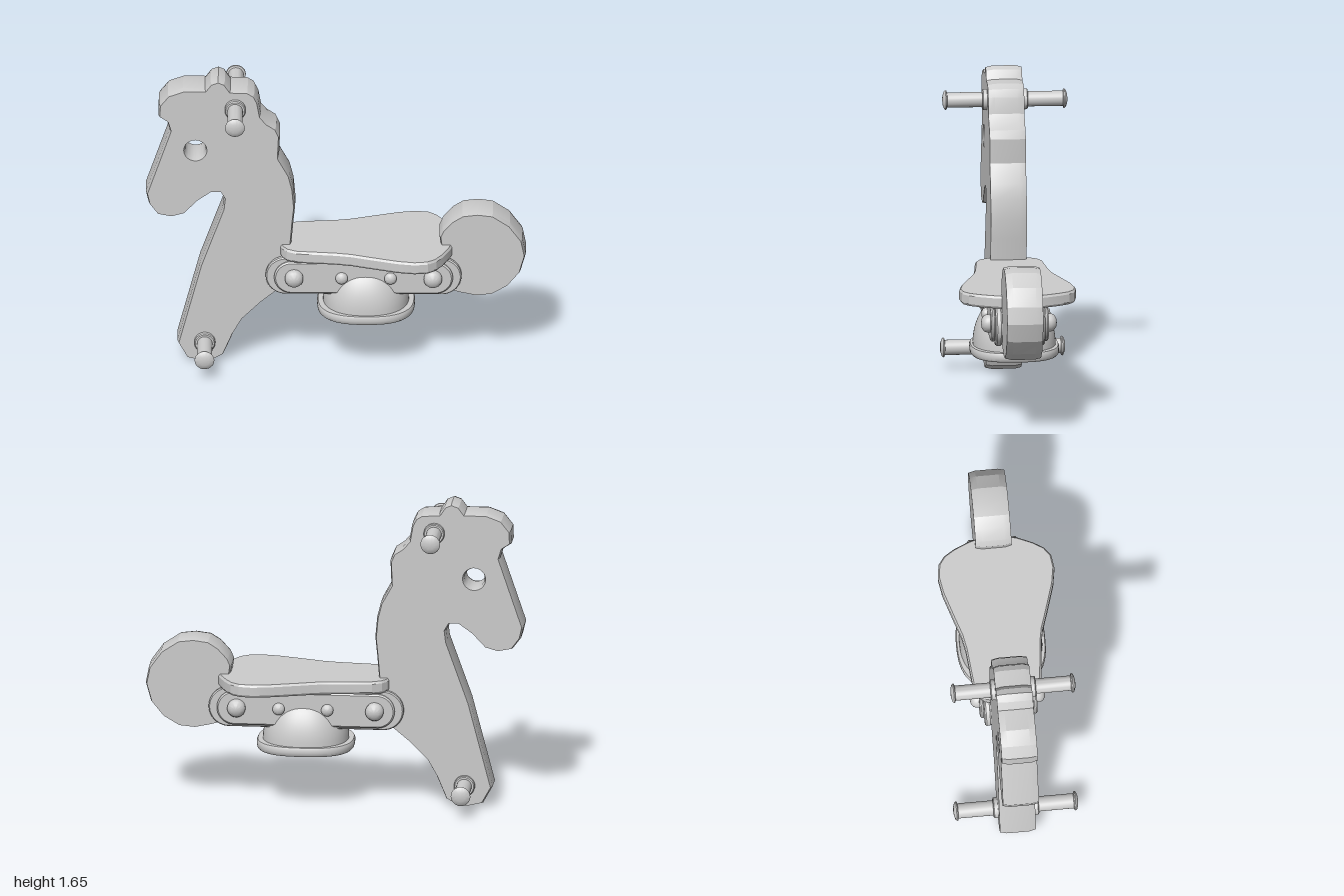
import * as THREE from 'three';
import { toCreasedNormals } from 'three/addons/utils/BufferGeometryUtils.js';

const material = new THREE.MeshStandardMaterial({ color: 0xcccccc });

function add(parent, name, geometry) {
  const mesh = new THREE.Mesh(geometry, material);
  mesh.name = name;
  parent.add(mesh);
  return mesh;
}

const toShape = (pts) => new THREE.Shape(pts.map(([x, y]) => new THREE.Vector2(x, y)));

// Extruded slab centred on z = 0, with its edges slightly eased.
function slab(shape, half, ease, inset) {
  const g = new THREE.ExtrudeGeometry(shape, {
    depth: 2 * (half - ease), bevelEnabled: true, bevelThickness: ease,
    bevelSize: inset, bevelOffset: -inset, bevelSegments: 1, curveSegments: 20,
  });
  g.translate(0, 0, ease - half);
  return toCreasedNormals(g, 0.35);
}

// Stadium outline: half length and end radius.
function stadium(cx, cy, halfLength, r) {
  const s = new THREE.Shape();
  const d = halfLength - r;
  s.absarc(cx + d, cy, r, -Math.PI / 2, Math.PI / 2, false);
  s.absarc(cx - d, cy, r, Math.PI / 2, Math.PI * 1.5, false);
  s.closePath();
  return s;
}

// Turned part whose axis points outward along z on the given side.
function turned(profile, x, y, side) {
  const g = new THREE.LatheGeometry(profile.map(([r, h]) => new THREE.Vector2(r, h)), 28);
  g.rotateX(side * Math.PI / 2);
  g.translate(x, y, 0);
  return toCreasedNormals(g, 0.6);
}

// Lathe squared off into a superelliptic plan.
function squaredLathe(profile, rx, rz, power) {
  const g = new THREE.LatheGeometry(profile.map(([r, h]) => new THREE.Vector2(r, h)), 64);
  const p = g.attributes.position;
  for (let i = 0; i < p.count; i++) {
    const x = p.getX(i), z = p.getZ(i), r = Math.hypot(x, z);
    if (r < 1e-6) continue;
    const f = (Math.abs(x / r) ** power + Math.abs(z / r) ** power) ** (-1 / power);
    p.setX(i, x * f * rx);
    p.setZ(i, z * f * rz);
  }
  return toCreasedNormals(g, 0.6);
}

export function createModel() {
  const model = new THREE.Group();
  model.name = 'rockingHorse';

  // Head, neck and leg in one board, with a tongue between the side plates
  const horse = toShape([
    [-0.70, 0.01], [-0.645, 0.02], [-0.59, 0.05], [-0.54, 0.17], [-0.49, 0.26], [-0.39, 0.36],
    [-0.30, 0.435], [-0.20, 0.46], [-0.15, 0.54], [-0.18, 0.62], [-0.235, 0.70], [-0.225, 0.82],
    [-0.215, 0.92], [-0.225, 1.03], [-0.245, 1.11], [-0.30, 1.21], [-0.295, 1.34], [-0.315, 1.385],
    [-0.36, 1.415], [-0.395, 1.455], [-0.41, 1.54], [-0.43, 1.58], [-0.465, 1.602], [-0.555, 1.605],
    [-0.585, 1.65], [-0.62, 1.665], [-0.66, 1.65], [-0.69, 1.61], [-0.805, 1.61], [-0.885, 1.58],
    [-0.932, 1.52], [-0.935, 1.45], [-0.89, 1.42], [-0.875, 1.37], [-1.0, 1.0], [-0.985, 0.935],
    [-0.94, 0.875], [-0.865, 0.86], [-0.795, 0.88], [-0.725, 0.955], [-0.655, 1.005], [-0.61, 1.005],
    [-0.59, 0.97], [-0.597, 0.91], [-0.715, 0.58], [-0.835, 0.12], [-0.785, 0.03],
  ]);
  const eye = new THREE.Path();
  eye.absarc(-0.74, 1.257, 0.053, 0, Math.PI * 2, true);
  horse.holes.push(eye);
  add(model, 'horseBoard', slab(horse, 0.095, 0.035, 0.008));

  // Round tail board
  add(model, 'tailBoard', slab(toShape([
    [0.44, 0.58], [0.44, 0.49], [0.53, 0.455], [0.65, 0.42], [0.735, 0.402], [0.82, 0.41],
    [0.905, 0.46], [0.97, 0.54], [0.998, 0.64], [0.98, 0.73], [0.915, 0.82], [0.825, 0.88],
    [0.745, 0.89], [0.665, 0.88], [0.61, 0.845], [0.56, 0.79], [0.543, 0.75], [0.55, 0.70], [0.53, 0.62],
  ]), 0.095, 0.035, 0.008));

  // Seat: half outline mirrored across the long axis
  const half = [
    [-0.298, 0.07], [-0.285, 0.12], [-0.26, 0.155], [-0.21, 0.18], [0, 0.20], [0.08, 0.215],
    [0.165, 0.243], [0.325, 0.293], [0.415, 0.308], [0.485, 0.298], [0.53, 0.265], [0.565, 0.21],
    [0.60, 0.13], [0.622, 0.05],
  ];
  const outline = [...half, ...half.map(([x, z]) => [x, -z]).reverse()].reverse();
  const seat = add(model, 'seat', slab(toShape(outline), 0.034, 0.012, 0.008));
  seat.rotation.x = -Math.PI / 2;
  seat.position.y = 0.67;

  // Spring housing: flat foot with an eased rim and a dome on it
  const foot = squaredLathe([
    [0, 0.298], [0.96, 0.298], [0.99, 0.306], [1, 0.32], [1, 0.337], [0.98, 0.347], [0, 0.349],
  ], 0.257, 0.235, 2.6);
  add(model, 'foot', foot).position.x = 0.157;
  const arc = [];
  for (let i = 0; i <= 16; i++) {
    const a = (i / 16) * Math.PI / 2;
    arc.push([i === 16 ? 0 : Math.cos(a), 0.345 + 0.275 * Math.sin(a)]);
  }
  add(model, 'dome', squaredLathe(arc, 0.226, 0.218, 2.3)).position.x = 0.157;

  for (const side of [1, -1]) {
    const sideGroup = new THREE.Group();
    sideGroup.name = side > 0 ? 'leftFittings' : 'rightFittings';
    model.add(sideGroup);

    // Layered side plate
    add(sideGroup, 'sidePlate', slab(stadium(0.145, 0.535, 0.515, 0.107), 0.0175, 0.008, 0.006))
      .position.z = side * 0.1125;
    add(sideGroup, 'plateCover', slab(stadium(0.145, 0.535, 0.47, 0.092), 0.012, 0.008, 0.008))
      .position.z = side * 0.14;

    // Domed bolts: x, radius, height
    for (const [x, r, h] of [[-0.22, 0.048, 0.048], [0.51, 0.048, 0.048], [0.03, 0.032, 0.03], [0.287, 0.032, 0.03]]) {
      add(sideGroup, 'bolt', turned([
        [r, 0.145], [r, 0.152 + h * 0.35], [r * 0.85, 0.152 + h * 0.68], [r * 0.5, 0.152 + h * 0.92], [0, 0.152 + h],
      ], x, 0.537, side));
    }

    // Handle and footrest pegs with collar and rounded cap
    for (const [name, x, y] of [['handle', -0.53, 1.503], ['footrest', -0.69, 0.13]]) {
      add(sideGroup, name, turned([
        [0.055, 0.09], [0.055, 0.115], [0.05, 0.12], [0.04, 0.12], [0.04, 0.305], [0.05, 0.308],
        [0.052, 0.314], [0.045, 0.321], [0.025, 0.328], [0, 0.33],
      ], x, y, side));
    }
  }
  return model;
}
